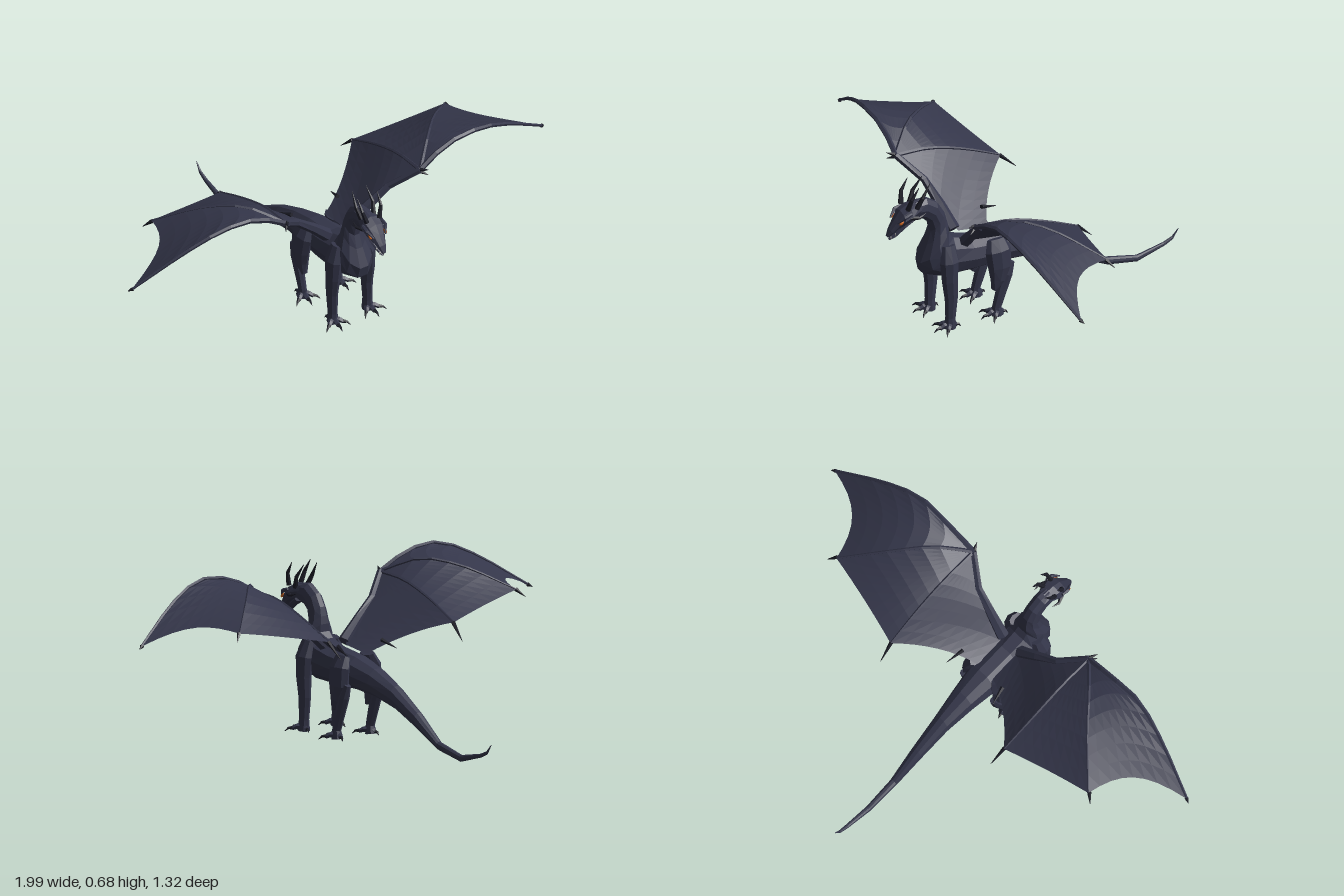
import * as THREE from 'three';

const V = (x, y, z) => new THREE.Vector3(x, y, z);
const paint = (color, side = THREE.FrontSide) =>
  new THREE.MeshStandardMaterial({ color, flatShading: true, side });

function build(positions, index) {
  const g = new THREE.BufferGeometry();
  g.setAttribute('position', new THREE.Float32BufferAttribute(positions, 3));
  g.setIndex(index);
  g.computeVertexNormals();
  return g;
}

// Closed skin over rings given as { c: centre, s: side axis, n: up axis }
function loft(rings, sides) {
  const pos = [], idx = [];
  for (const { c, s, n } of rings) {
    for (let j = 0; j < sides; j++) {
      const a = (j / sides) * Math.PI * 2;
      pos.push(...c.clone().addScaledVector(s, Math.cos(a)).addScaledVector(n, Math.sin(a)).toArray());
    }
  }
  const last = rings.length - 1, first = rings.length * sides;
  pos.push(...rings[0].c.toArray(), ...rings[last].c.toArray());
  for (let j = 0; j < sides; j++) {
    const k = (j + 1) % sides;
    for (let i = 0; i < last; i++) {
      const a = i * sides, b = a + sides;
      idx.push(a + j, a + k, b + j, a + k, b + k, b + j);
    }
    idx.push(first, k, j, first + 1, last * sides + j, last * sides + k);
  }
  return build(pos, idx);
}

// Midline skin from rows [zTop, yTop, zBottom, yBottom, halfWidth], back to front
const profile = (rows, sides) => loft(rows.map(([zt, yt, zb, yb, w]) => ({
  c: V(0, (yt + yb) / 2, (zt + zb) / 2), s: V(w, 0, 0), n: V(0, (yt - yb) / 2, (zt - zb) / 2),
})), sides);

// Tapered limb along points [x, y, z, radius, radius across]
function limb(points, sides = 6) {
  const p = points.map(q => V(q[0], q[1], q[2]));
  const d = p[p.length - 1].clone().sub(p[0]);
  const axis = Math.abs(d.y) > Math.max(Math.abs(d.x), Math.abs(d.z)) ? V(1, 0, 0) : V(0, 1, 0);
  return loft(p.map((c, i) => {
    const t = p[Math.min(i + 1, p.length - 1)].clone().sub(p[Math.max(i - 1, 0)]).normalize();
    const s = axis.clone().addScaledVector(t, -axis.dot(t)).normalize();
    const n = t.clone().cross(s);
    const [, , , r, r2 = r] = points[i];
    return { c, s: s.multiplyScalar(r), n: n.multiplyScalar(r2) };
  }), sides);
}

// Membrane stretched between two curves, with a scalloped free edge
function web(a, b, scallop, n = 8) {
  const pos = [], idx = [];
  for (let i = 0; i <= n; i++) {
    for (let j = 0; j <= n; j++) {
      const s = j / n, t = (i / n) * (1 - scallop * 4 * s * (1 - s));
      pos.push(...a.getPointAt(t).lerp(b.getPointAt(t), s).toArray());
      if (i < n && j < n) {
        const q = i * (n + 1) + j, r = q + n + 1;
        idx.push(q, r, q + 1, r, r + 1, q + 1);
      }
    }
  }
  return build(pos, idx);
}

function mirrored(geometry) {
  const g = geometry.clone().scale(-1, 1, 1);
  const ix = g.index.array;
  for (let i = 0; i < ix.length; i += 3) [ix[i], ix[i + 1]] = [ix[i + 1], ix[i]];
  g.computeVertexNormals();
  return g;
}

export function createModel() {
  const root = new THREE.Group();
  const skin = paint(0x34364a), dark = paint(0x1d1e28), hide = paint(0x34364a, THREE.DoubleSide);
  const amber = paint(0xc8641e), ivory = paint(0xd8d4c8);
  const add = (name, geometry, mat = skin) => {
    const m = new THREE.Mesh(geometry, mat);
    m.name = name;
    root.add(m);
  };
  const pair = (name, geometry, mat) => {
    add(name + 'Left', geometry, mat);
    add(name + 'Right', mirrored(geometry), mat);
  };

  // Tail, torso and neck in one skin
  add('body', profile([
    [-0.658, 0.106, -0.656, 0.101, 0.002], [-0.63, 0.076, -0.632, 0.063, 0.006],
    [-0.59, 0.06, -0.596, 0.045, 0.008], [-0.47, 0.036, -0.47, 0.008, 0.012],
    [-0.33, 0.068, -0.335, 0.033, 0.016], [-0.2, 0.165, -0.21, 0.095, 0.027],
    [-0.06, 0.25, -0.07, 0.157, 0.038], [0.06, 0.302, 0.05, 0.188, 0.055],
    [0.17, 0.335, 0.16, 0.2, 0.072], [0.3, 0.352, 0.28, 0.2, 0.078],
    [0.37, 0.375, 0.42, 0.205, 0.08], [0.388, 0.4, 0.51, 0.24, 0.075],
    [0.388, 0.43, 0.522, 0.29, 0.065], [0.395, 0.46, 0.488, 0.365, 0.046],
    [0.405, 0.495, 0.468, 0.42, 0.037], [0.435, 0.545, 0.475, 0.46, 0.034],
    [0.485, 0.578, 0.5, 0.485, 0.034], [0.535, 0.572, 0.54, 0.5, 0.034],
  ], 10));

  // Head: skull with muzzle, and a slightly open jaw
  add('skull', profile([
    [0.51, 0.575, 0.53, 0.51, 0.034], [0.565, 0.568, 0.565, 0.495, 0.048],
    [0.6, 0.55, 0.592, 0.484, 0.044], [0.625, 0.515, 0.612, 0.474, 0.03],
    [0.65, 0.478, 0.636, 0.455, 0.019], [0.662, 0.45, 0.656, 0.442, 0.008],
  ], 8));
  add('jaw', profile([
    [0.545, 0.52, 0.54, 0.495, 0.03], [0.59, 0.486, 0.585, 0.47, 0.026],
    [0.63, 0.45, 0.622, 0.438, 0.015], [0.652, 0.434, 0.648, 0.428, 0.006],
  ], 8));
  pair('brow', limb([[0.044, 0.545, 0.57, 0.006], [0.044, 0.535, 0.6, 0.008], [0.028, 0.51, 0.628, 0.003]], 5));
  const eye = new THREE.IcosahedronGeometry(1, 1);
  eye.setIndex([...Array(eye.attributes.position.count).keys()]);
  pair('eye', eye.scale(0.006, 0.007, 0.012).rotateX(0.7).translate(0.036, 0.512, 0.612), amber);
  pair('upperHorn', limb([[0.03, 0.56, 0.58, 0.011], [0.044, 0.61, 0.57, 0.008], [0.047, 0.658, 0.54, 0.001]]), dark);
  pair('rearHorn', limb([[0.03, 0.555, 0.54, 0.011], [0.04, 0.6, 0.52, 0.008], [0.033, 0.656, 0.482, 0.001]]), dark);
  pair('cheekSpike', limb([[0.04, 0.525, 0.57, 0.01], [0.055, 0.525, 0.54, 0.006], [0.05, 0.535, 0.51, 0.001]], 5), dark);
  for (const [x, y, z] of [[0.018, 0.46, 0.63], [0.012, 0.447, 0.647]]) {
    pair('tooth', limb([[x, y, z, 0.003], [x, y - 0.013, z - 0.002, 0.0005]], 4), ivory);
  }

  // Legs
  pair('frontLeg', limb([
    [0.06, 0.365, 0.415, 0.02, 0.03], [0.078, 0.3, 0.42, 0.032, 0.042], [0.083, 0.22, 0.42, 0.026, 0.036],
    [0.083, 0.14, 0.414, 0.021, 0.03], [0.083, 0.05, 0.418, 0.018, 0.023], [0.083, 0.004, 0.42, 0.024, 0.026],
  ], 8));
  pair('thigh', limb([
    [0.06, 0.335, 0.2, 0.02, 0.04], [0.078, 0.29, 0.2, 0.03, 0.056], [0.085, 0.22, 0.196, 0.028, 0.052],
    [0.085, 0.165, 0.205, 0.023, 0.035], [0.085, 0.122, 0.225, 0.014, 0.008],
  ], 8));
  pair('shin', limb([
    [0.083, 0.23, 0.145, 0.014, 0.016], [0.085, 0.18, 0.165, 0.021, 0.026], [0.085, 0.1, 0.192, 0.018, 0.024],
    [0.085, 0.04, 0.21, 0.016, 0.02], [0.085, 0.004, 0.205, 0.022, 0.026],
  ], 8));

  // Feet: spread toes that end in claws
  for (const [name, z] of [['front', 0.42], ['hind', 0.208]]) {
    for (const deg of [-42, 3, 52, 170]) {
      const a = deg * Math.PI / 180, k = deg > 90 ? 0.6 : 1;
      const at = (d, y, r) => [0.084 + Math.sin(a) * d * k, y, z + Math.cos(a) * d * k, r];
      pair(name + 'Toe', limb([at(0.005, 0.022, 0.014), at(0.028, 0.02, 0.011), at(0.046, 0.012, 0.008)], 5));
      pair(name + 'Claw', limb([at(0.043, 0.015, 0.008), at(0.06, 0.014, 0.005), at(0.074, 0.002, 0.001)], 5), dark);
    }
  }

  // Wings: an arm and three fingers meeting at the wrist
  const wrist = V(0.32, 0.59, 0.44);
  const curve = (...pts) => new THREE.CatmullRomCurve3([wrist, ...pts.map(p => V(...p))]);
  const arm = [[0.22, 0.51, 0.367], [0.13, 0.435, 0.345], [0.05, 0.36, 0.33]];
  const fingers = [
    curve([0.45, 0.656, 0.432], [0.6, 0.672, 0.432], [0.75, 0.615, 0.4], [0.98, 0.47, 0.327]),
    curve([0.43, 0.645, 0.33], [0.54, 0.622, 0.21], [0.7, 0.53, 0.055]),
    curve([0.32, 0.58, 0.29], [0.32, 0.53, 0.13], [0.315, 0.46, -0.03]),
  ];
  const edge = curve(...arm, [0.045, 0.335, 0.18]);
  pair('outerMembrane', web(fingers[0], fingers[1], 0.12), hide);
  pair('middleMembrane', web(fingers[1], fingers[2], 0.01), hide);
  pair('innerMembrane', web(fingers[2], edge, 0.05), hide);
  pair('wingArm', limb([[0.32, 0.59, 0.44, 0.014], ...arm.map((p, i) => [...p, 0.015 + i * 0.006])]));
  fingers.forEach((f, i) => {
    const bone = [];
    for (let j = 0; j <= 8; j++) bone.push([...f.getPointAt(j / 8).toArray(), (i ? 0.009 : 0.012) * (1 - 0.07 * j)]);
    pair('wingFinger', limb(bone, 5));
  });

  // Wing claws, from base to tip
  const hooks = [
    [[0.32, 0.595, 0.445], [0.335, 0.605, 0.475]], [[0.32, 0.585, 0.44], [0.34, 0.575, 0.47]],
    [[0.975, 0.472, 0.328], [0.993, 0.462, 0.32]], [[0.7, 0.53, 0.06], [0.73, 0.5, 0.035]],
    [[0.315, 0.46, -0.025], [0.306, 0.395, -0.095]], [[0.11, 0.385, 0.17], [0.127, 0.36, 0.095]],
  ];
  for (const [a, b] of hooks) pair('wingClaw', limb([[...a, 0.009], [...b, 0.001]], 5), dark);

  return root;
}
